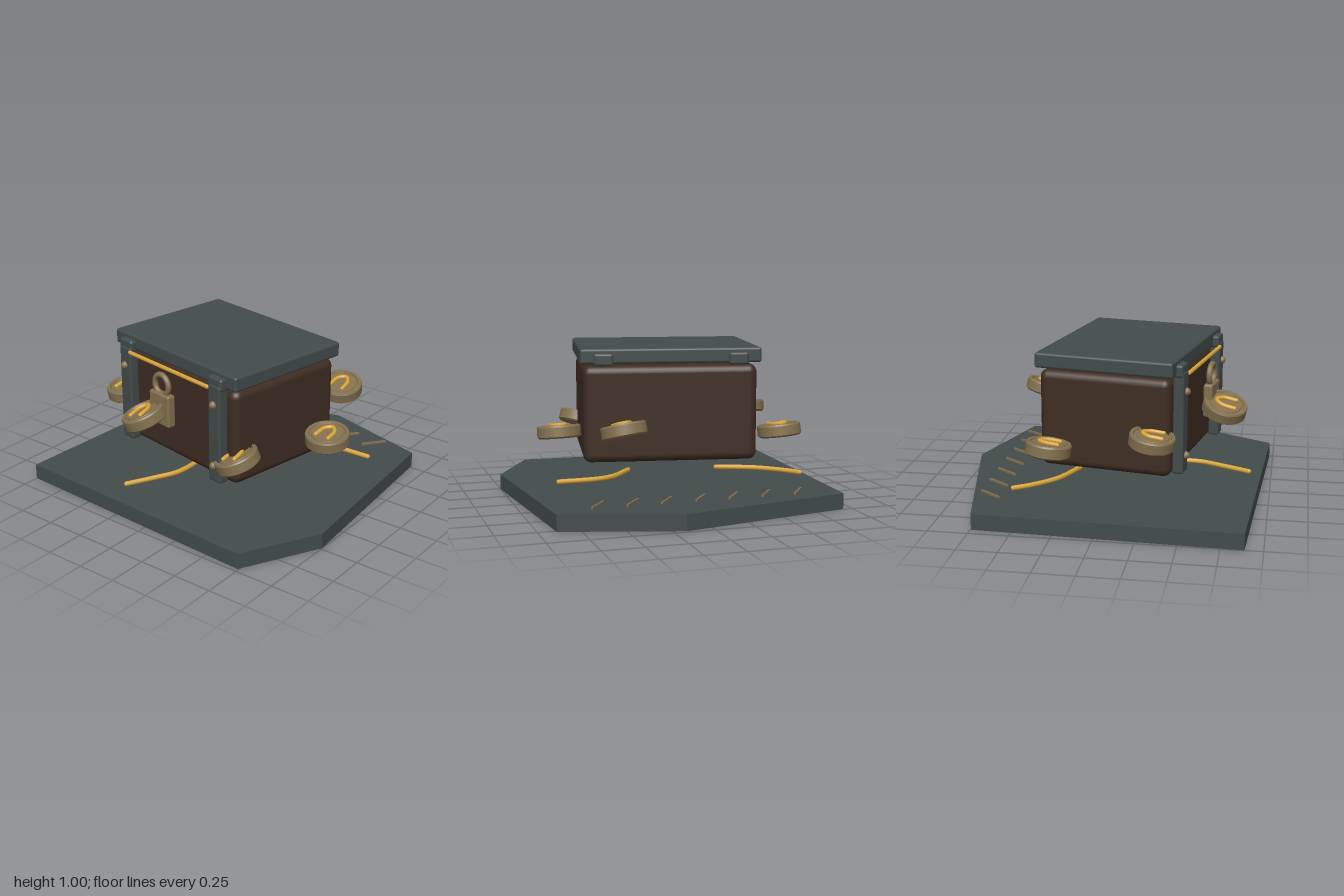
import * as THREE from 'three';
import { RoundedBoxGeometry } from 'three/addons/geometries/RoundedBoxGeometry.js';

const material = (name, color) => {
  const m = new THREE.MeshStandardMaterial({ color });
  m.name = name;
  return m;
};

export function createModel() {
  const slate = material('slate', 0x434b4b);
  const wood = material('darkWood', 0x3e2c22);
  const bronze = material('bronze', 0x83704f);
  const gold = material('gold', 0xd9a53a);

  const model = new THREE.Group();
  model.name = 'floatingChest';

  const add = (parent, name, geometry, mat, x = 0, y = 0, z = 0) => {
    const mesh = new THREE.Mesh(geometry, mat);
    mesh.name = name;
    mesh.position.set(x, y, z);
    parent.add(mesh);
    return mesh;
  };
  const rounded = (w, h, d, r) => new RoundedBoxGeometry(w, h, d, 3, r);

  // Tube along a path with round ends
  const cord = (parent, name, points, radius, mat) => {
    const curve = new THREE.CatmullRomCurve3(points.map((p) => new THREE.Vector3(...p)));
    add(parent, name, new THREE.TubeGeometry(curve, 28, radius, 8), mat);
    for (const p of [points[0], points[points.length - 1]]) {
      add(parent, name + 'End', new THREE.SphereGeometry(radius, 8, 6), mat, ...p);
    }
  };

  // Irregular stone slab
  const outline = [[-0.94, -0.745], [0.17, -0.98], [0.89, -0.77], [1, 0.49], [0.74, 0.975], [-1, 0.89]];
  const slabShape = new THREE.Shape(outline.map(([x, z]) => new THREE.Vector2(x, -z)));
  const slab = new THREE.ExtrudeGeometry(slabShape, { depth: 0.1, bevelEnabled: false });
  slab.rotateX(-Math.PI / 2);
  add(model, 'baseSlab', slab, slate);

  // Row of slanted scratches along the back
  for (let i = 0; i < 7; i++) {
    const mark = add(model, 'scratchMark', new THREE.BoxGeometry(0.175, 0.014, 0.012), bronze,
      -0.65 + i * 0.213, 0.126, -0.7);
    mark.rotation.y = Math.atan2(0.14, 0.105);
  }

  // Glowing veins hovering over the slab
  const veins = [
    [[-0.05, 0.205, 0.32], [-0.055, 0.205, 0.55], [-0.13, 0.205, 0.72], [-0.205, 0.205, 0.87]],
    [[0.28, 0.205, -0.12], [0.42, 0.205, -0.285], [0.54, 0.205, -0.345], [0.785, 0.205, -0.36]],
    [[-0.735, 0.205, -0.53], [-0.68, 0.205, -0.45], [-0.52, 0.205, -0.3], [-0.29, 0.205, -0.2]],
  ];
  veins.forEach((v) => cord(model, 'goldVein', v, 0.016, gold));

  // Chest, turned slightly
  const chest = new THREE.Group();
  chest.name = 'chest';
  chest.position.set(-0.022, 0, 0.093);
  chest.rotation.y = -0.178;
  model.add(chest);
  add(chest, 'chestBody', rounded(1.1, 0.61, 0.84, 0.05), wood, 0, 0.585, 0);
  add(chest, 'chestLid', rounded(1.14, 0.095, 0.88, 0.016), slate, 0, 0.952, 0);

  // Straps with rivets, and bands running through the lid
  for (const side of [-1, 1]) {
    const x = side * 0.425;
    add(chest, 'frontStrap', rounded(0.105, 0.635, 0.07, 0.014), slate, x, 0.607, 0.45);
    add(chest, 'lidBand', rounded(0.122, 0.078, 0.935, 0.016), slate, x, 0.932, 0.012);
    for (const y of [0.4, 0.8]) {
      add(chest, 'rivet', new THREE.SphereGeometry(0.025, 14, 10), bronze, x, y, 0.488);
    }
  }

  // Gold trim beneath the lid
  cord(chest, 'goldTrim', [[-0.37, 0.9, 0.485], [0, 0.9, 0.485], [0.37, 0.9, 0.485]], 0.013, gold);

  // Padlock
  add(chest, 'lockBody', rounded(0.185, 0.21, 0.06, 0.014), bronze, 0, 0.655, 0.53);
  add(chest, 'lockRing', new THREE.TorusGeometry(0.064, 0.018, 12, 32), bronze, 0, 0.81, 0.53);

  // Coin: stepped disc with an arch emblem on top
  const profile = [[0, -0.04], [0.128, -0.04], [0.14, -0.03], [0.14, 0.03], [0.134, 0.04],
    [0.118, 0.04], [0.112, 0.028], [0.102, 0.028], [0.098, 0.036], [0, 0.036]];
  // Repeated points keep the steps crisp
  const crisp = profile.flatMap(([x, y], i) => {
    const p = new THREE.Vector2(x, y);
    return i > 0 && i < profile.length - 1 ? [p, p.clone()] : [p];
  });
  const coinGeometry = new THREE.LatheGeometry(crisp, 36);
  const arch = [[-0.046, 0.042, 0.06], [-0.038, 0.042, -0.025], [0, 0.042, -0.06],
    [0.038, 0.042, -0.025], [0.046, 0.042, 0.06]];

  // Position, then tilt about x and z
  const coins = [
    [0.43, 0.535, -0.57, 0.24, -0.12],
    [0.7, 0.455, 0, 0.14, -0.03],
    [-0.68, 0.45, -0.32, 0.12, -0.08],
    [-0.68, 0.53, 0.31, 0.14, 0.1],
    [-0.185, 0.615, 0.705, 0.24, 0.32],
    [0.43, 0.445, 0.57, 0.2, 0.32],
  ];
  for (const [x, y, z, tiltX, tiltZ] of coins) {
    const coin = new THREE.Group();
    coin.name = 'coin';
    coin.position.set(x, y, z);
    coin.rotation.set(tiltX, 0, tiltZ);
    model.add(coin);
    add(coin, 'coinDisc', coinGeometry, bronze);
    cord(coin, 'coinArch', arch, 0.014, gold);
  }

  return model;
}
